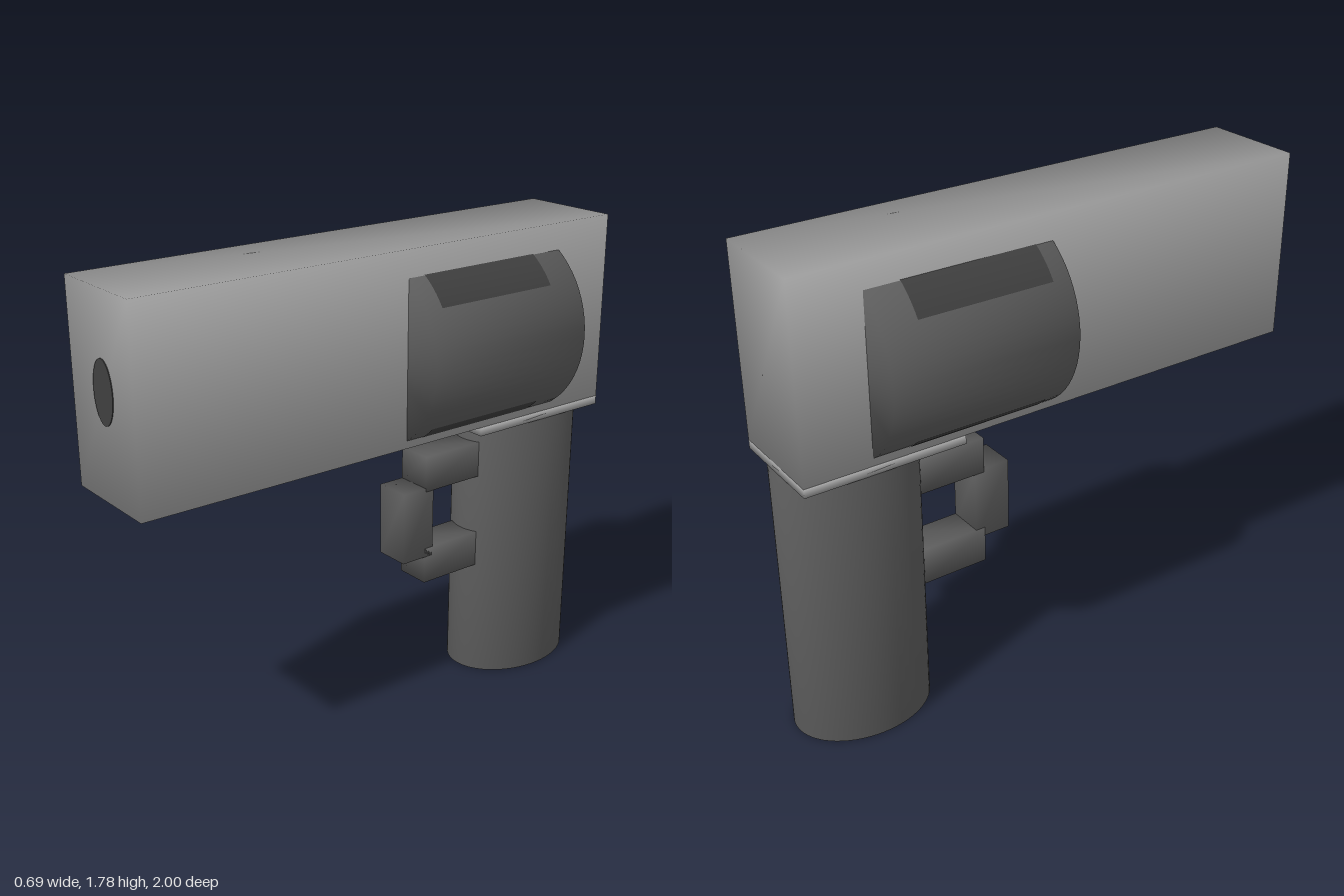
import * as THREE from 'three';
import { mergeVertices } from 'three/addons/utils/BufferGeometryUtils.js';

const material = (name, color) => Object.assign(new THREE.MeshStandardMaterial({ color }), { name });

// Weld shared corners so shading flows smoothly over every edge
function soften(geometry) {
  geometry.deleteAttribute('uv');
  geometry.deleteAttribute('normal');
  const welded = mergeVertices(geometry);
  welded.computeVertexNormals();
  return welded;
}

export function createModel() {
  const group = new THREE.Group();
  const light = material('light grey', 0xa8a8a8);
  const dark = material('dark grey', 0x5e5e5e);
  const shade = material('charcoal', 0x404040);

  function add(name, geometry, mat, x, y, z) {
    const mesh = new THREE.Mesh(geometry, mat);
    mesh.name = name;
    mesh.position.set(x, y, z);
    group.add(mesh);
    return mesh;
  }

  // Box given by its limits on each axis
  function addBox(name, mat, [x0, x1], [y0, y1], [z0, z1]) {
    const geometry = soften(new THREE.BoxGeometry(x1 - x0, y1 - y0, z1 - z0));
    add(name, geometry, mat, (x0 + x1) / 2, (y0 + y1) / 2, (z0 + z1) / 2);
  }

  // Long body and the plate joining it to the grip
  addBox('body', light, [-0.196, 0.192], [1.08, 1.777], [-0.985, 1]);
  addBox('gripPlate', light, [-0.196, 0.192], [1.047, 1.08], [-0.985, -0.39]);

  // Round drum passing through the body
  const drum = new THREE.CylinderGeometry(0.346, 0.346, 0.695, 64).rotateX(Math.PI / 2);
  add('drum', soften(drum), dark, -0.003, 1.394, -0.39);

  // Thin dark patches over the drum's top and bottom
  for (const [name, middle, half] of [['drumTopPatch', Math.PI, 0.98], ['drumBottomPatch', 0, 0.8]]) {
    const patch = new THREE.CylinderGeometry(0.348, 0.348, 0.5, 40, 1, true, middle - half, half * 2);
    add(name, patch.rotateX(Math.PI / 2), shade, -0.003, 1.394, -0.36);
  }

  // Oval grip
  const grip = new THREE.CylinderGeometry(1, 1, 1.047, 64).scale(0.194, 1, 0.26);
  add('grip', soften(grip), dark, -0.002, 0.5235, -0.74);

  // Trigger: two arms and an upright bar
  const triggerWidth = [-0.07, 0.068];
  addBox('triggerUpperArm', dark, triggerWidth, [0.826, 0.963], [-0.5, -0.24]);
  addBox('triggerLowerArm', dark, triggerWidth, [0.457, 0.597], [-0.5, -0.24]);
  addBox('triggerBar', dark, triggerWidth, [0.563, 0.84], [-0.277, -0.138]);

  // Oval muzzle on the front face
  const muzzle = new THREE.CylinderGeometry(1, 1, 0.006, 40).rotateX(Math.PI / 2).scale(0.06, 0.108, 1);
  add('muzzle', muzzle, shade, 0.009, 1.45, 1);

  return group;
}
